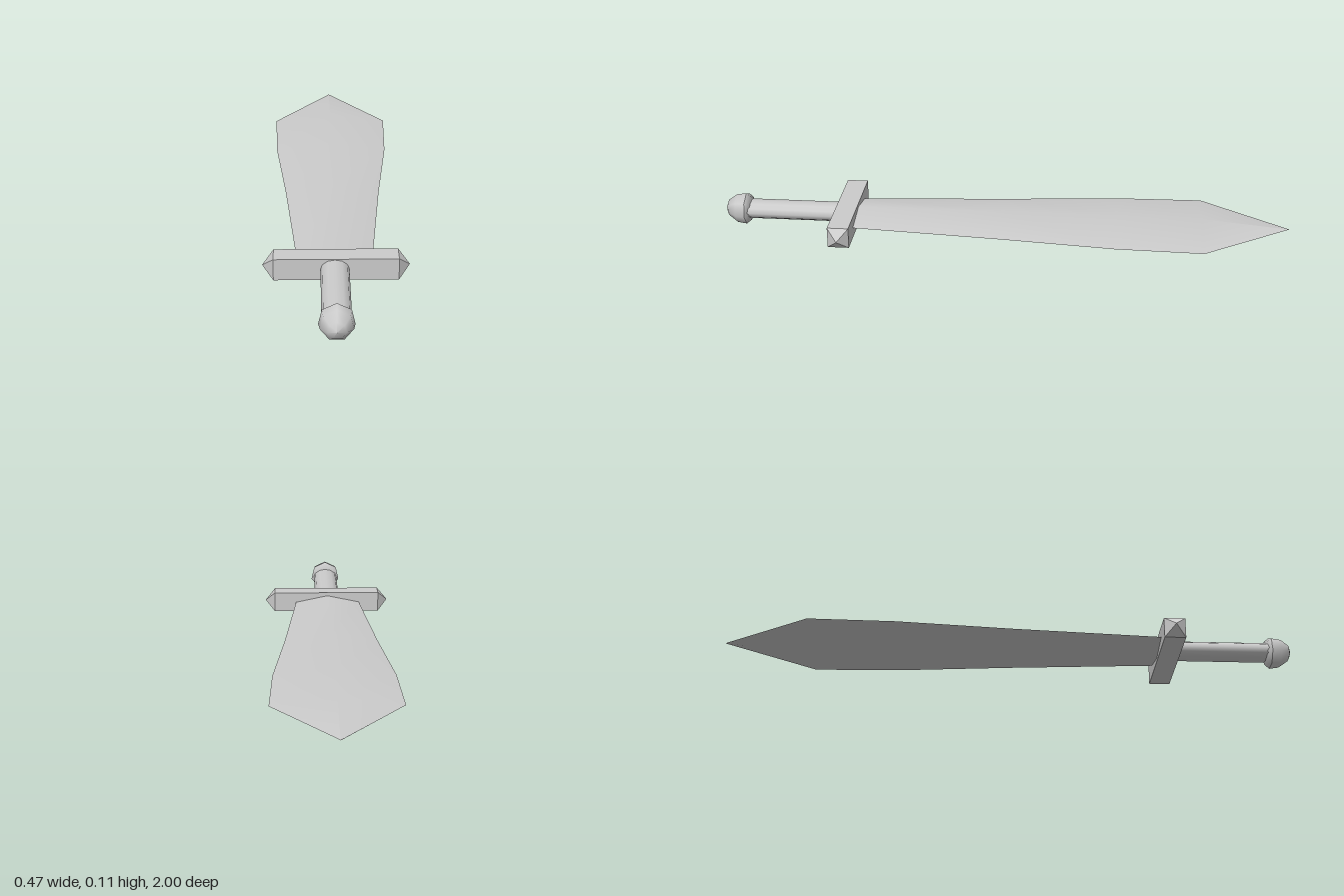
import * as THREE from 'three';

const material = new THREE.MeshStandardMaterial({ color: 0xcccccc });
const bladeMaterial = new THREE.MeshStandardMaterial({ color: 0xcccccc, side: THREE.DoubleSide });
const flatMaterial = new THREE.MeshStandardMaterial({ color: 0xcccccc, flatShading: true });
const MID_Y = 0.05;
const AXIS_X = -0.004;

function add(parent, name, geometry, mat = material) {
  const mesh = new THREE.Mesh(geometry, mat);
  mesh.name = name;
  parent.add(mesh);
  return mesh;
}

// One face of the blade: edge, ridge, edge at each station; side is +1 (top) or -1 (bottom)
function bladeFace(side) {
  // z, half width, half thickness
  const stations = [
    [0.54, 0.12, 0.025], [0, 0.164, 0.028], [-0.4, 0.204, 0.027],
    [-0.7, 0.212, 0.027], [-1, 0.001, 0.001],
  ];
  const positions = [];
  const index = [];
  for (const [z, w, h] of stations) {
    positions.push(-w, 0, z, 0, side * h, z, w, 0, z);
  }
  for (let i = 0; i < stations.length - 1; i++) {
    for (let j = 0; j < 2; j++) {
      const a = i * 3 + j, b = a + 1, c = a + 3, d = a + 4;
      if (side > 0) index.push(a, b, d, a, d, c);
      else index.push(a, d, b, a, c, d);
    }
  }
  const geometry = new THREE.BufferGeometry();
  geometry.setAttribute('position', new THREE.Float32BufferAttribute(positions, 3));
  geometry.setIndex(index);
  geometry.computeVertexNormals();
  return geometry;
}

// Seven-sided turned shape along z, with a corner pointing up
function turned(profile) {
  const points = profile.map(([r, z]) => new THREE.Vector2(r, z));
  return new THREE.LatheGeometry(points, 7, Math.PI).rotateX(Math.PI / 2);
}

export function createModel() {
  const sword = new THREE.Group();
  sword.name = 'sword';

  // Blade, smooth over the ridge and sharp along the edges
  const blade = new THREE.Group();
  blade.name = 'blade';
  blade.position.set(AXIS_X, MID_Y - 0.001, 0);
  add(blade, 'bladeTop', bladeFace(1), bladeMaterial);
  add(blade, 'bladeBottom', bladeFace(-1), bladeMaterial);
  sword.add(blade);

  // Crossguard with a pyramid on each end
  const guard = new THREE.Group();
  guard.name = 'guard';
  guard.position.set(0, MID_Y, 0.557);
  add(guard, 'guardBar', new THREE.BoxGeometry(0.4, 0.073, 0.074), flatMaterial);
  for (const s of [-1, 1]) {
    const tip = new THREE.ConeGeometry(Math.SQRT1_2, 0.036, 4, 1, true)
      .rotateY(Math.PI / 4)
      .scale(0.073, 1, 0.074)
      .rotateZ(-s * Math.PI / 2);
    add(guard, s > 0 ? 'guardTipLeft' : 'guardTipRight', tip, flatMaterial).position.x = s * 0.218;
  }
  sword.add(guard);

  // Oval grip
  const grip = new THREE.CylinderGeometry(1, 1, 0.34, 12).rotateX(Math.PI / 2).scale(0.046, 0.032, 1);
  add(sword, 'grip', grip).position.set(AXIS_X, 0.052, 0.755);

  // Faceted pommel: collar and rounded cap
  const pommel = new THREE.Group();
  pommel.name = 'pommel';
  pommel.position.set(AXIS_X, 0.053, 0);
  add(pommel, 'pommelCollar', turned([[0, 0.905], [0.043, 0.908], [0.057, 0.925]]));
  add(pommel, 'pommelCap', turned([[0.057, 0.925], [0.052, 0.958], [0.029, 0.99], [0, 1]]));
  sword.add(pommel);

  return sword;
}
